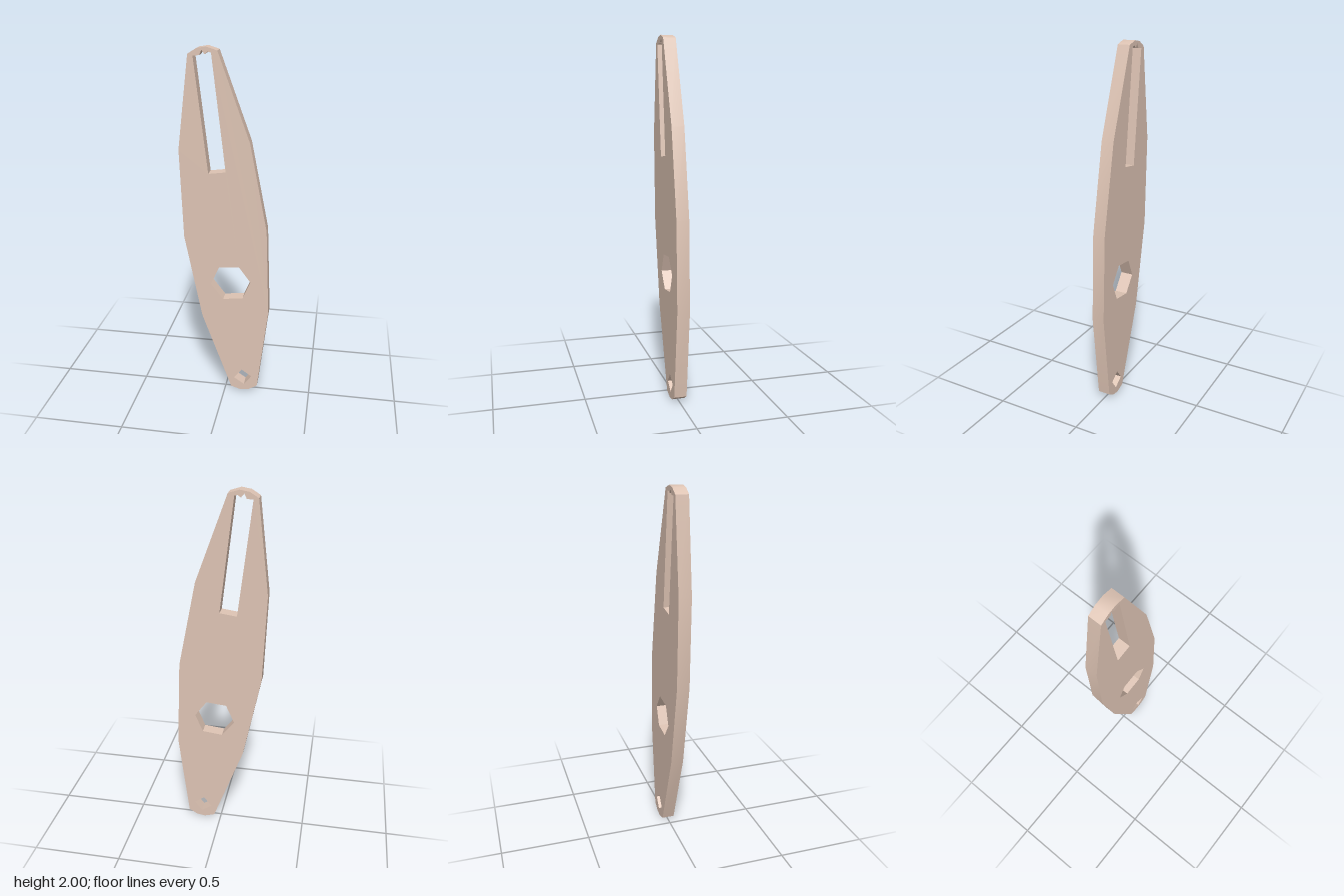
import * as THREE from 'three';
import { toCreasedNormals } from 'three/addons/utils/BufferGeometryUtils.js';

const points = (list) => list.map(([x, y]) => new THREE.Vector2(x, y));

export function createModel() {
  const group = new THREE.Group();
  group.name = 'slottedPlate';
  const depth = 0.07;

  // Half of the leaning outline; the other half is the same turned 180 degrees about (0, 1)
  const half = [
    [0.038, 0.018], [0.095, 0], [0.145, 0.008], [0.192, 0.037],
    [0.25, 0.535], [0.23, 1.03], [0.133, 1.515],
  ];
  const outline = [...half, ...half.map(([x, y]) => [-x, 2 - y])];
  const shape = new THREE.Shape(points(outline));

  // Long slot with a small notched end, six-sided centre hole, small four-sided hole
  const slot = [
    [-0.09, 1.34], [0.004, 1.353], [-0.07, 1.97], [-0.086, 1.975],
    [-0.103, 1.962], [-0.119, 1.982], [-0.132, 1.957], [-0.165, 1.955],
  ];
  const hexHole = [
    [-0.08, 0.69], [-0.01, 0.6], [0.102, 0.613],
    [0.145, 0.716], [0.079, 0.806], [-0.034, 0.795],
  ];
  const squareHole = [[0.055, 0.08], [0.115, 0.04], [0.158, 0.098], [0.1, 0.139]];
  for (const hole of [slot, hexHole, squareHole]) shape.holes.push(new THREE.Path(points(hole)));

  // Flat plate, softly shaded around the gentle bends of its rim
  const geometry = new THREE.ExtrudeGeometry(shape, { depth, bevelEnabled: false });
  geometry.translate(0, 0, -depth / 2);
  const plate = new THREE.Mesh(
    toCreasedNormals(geometry, 0.65),
    new THREE.MeshStandardMaterial({ color: 0xdec4b4 })
  );
  plate.name = 'plate';
  group.add(plate);
  return group;
}
